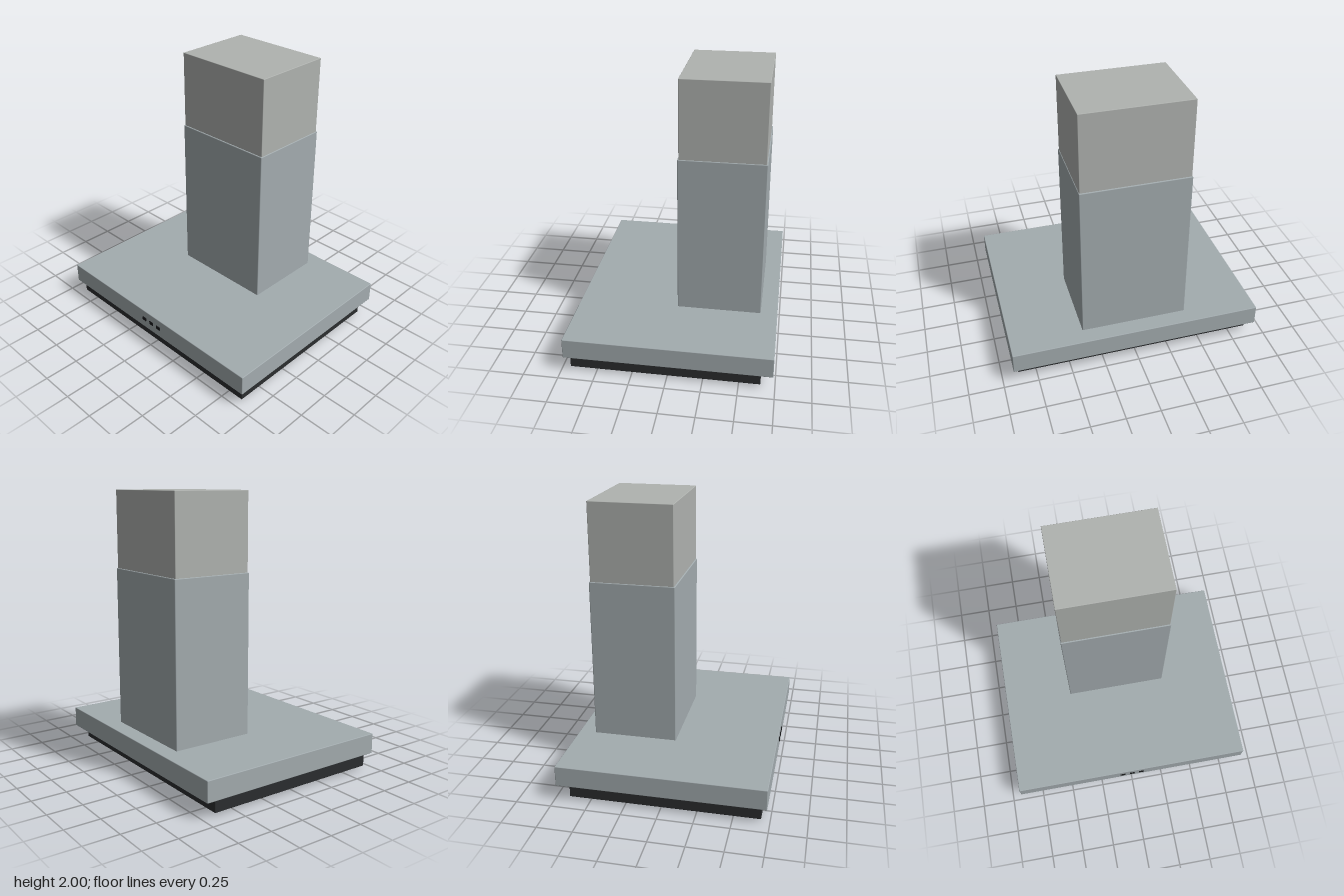
import * as THREE from 'three';
import { RoundedBoxGeometry } from 'three/addons/geometries/RoundedBoxGeometry.js';

const paint = (color) => new THREE.MeshStandardMaterial({ color });

export function createModel() {
  const model = new THREE.Group();
  const steel = paint(0xa3acaf);
  const paleSteel = paint(0xb0b3b0);
  const darkPanel = paint(0x2b2d2f);
  const black = paint(0x17181a);
  const slatGrey = paint(0x54564f);
  const lampGlass = paint(0x8c8a78);

  // Box given by its low and high limits on each axis; a bevel softens its edges
  function box(name, material, [x0, x1], [y0, y1], [z0, z1], bevel = 0) {
    const size = [x1 - x0, y1 - y0, z1 - z0];
    const geometry = bevel
      ? new RoundedBoxGeometry(...size, 2, bevel)
      : new THREE.BoxGeometry(...size);
    const mesh = new THREE.Mesh(geometry, material);
    mesh.name = name;
    mesh.position.set((x0 + x1) / 2, (y0 + y1) / 2, (z0 + z1) / 2);
    model.add(mesh);
    return mesh;
  }

  // Canopy and the dark tray under it
  box('canopy', steel, [-0.922, 0.922], [0.116, 0.265], [-0.736, 0.731], 0.005);
  box('filterTray', darkPanel, [-0.882, 0.882], [0.016, 0.12], [-0.65, 0.69], 0.004);

  // Telescopic chimney
  box('lowerChimney', steel, [-0.39, 0.39], [0.255, 1.437], [-0.614, 0], 0.006);
  box('upperChimney', paleSteel, [-0.385, 0.385], [1.4, 2], [-0.606, -0.008], 0.004);

  // Control buttons on the front edge
  for (const x of [-0.077, 0, 0.077]) {
    box('button', black, [x - 0.02, x + 0.02], [0.179, 0.207], [0.72, 0.737], 0.004);
  }

  // Filter slats across the underside
  for (let i = 0; i < 11; i++) {
    const z = 0.4 - i * 0.0954;
    box('filterSlat', slatGrey, [-0.65, 0.65], [0.006, 0.02], [z - 0.018, z + 0.018]);
  }

  // Round lamps near the front corners of the underside
  for (const side of [-1, 1]) {
    const lamp = new THREE.Mesh(new THREE.CylinderGeometry(0.075, 0.075, 0.02, 32), lampGlass);
    lamp.name = side > 0 ? 'leftLamp' : 'rightLamp';
    lamp.position.set(side * 0.645, 0.01, 0.505);
    model.add(lamp);
  }

  return model;
}
